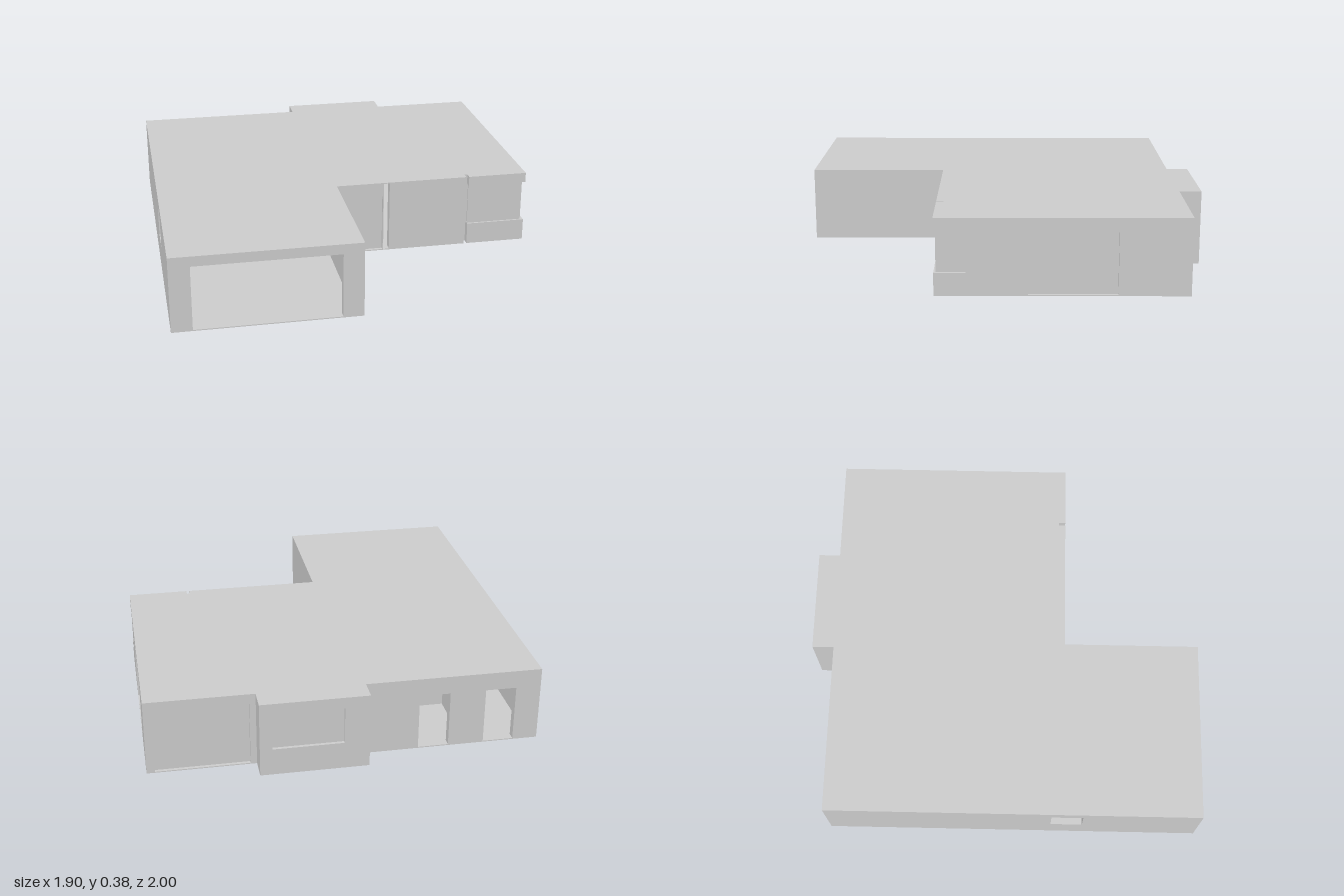
import * as THREE from 'three';

const HEIGHT = 0.375, SKIN = 0.005, WALL = 0.04;

export function createModel() {
  const house = new THREE.Group();
  house.name = 'house';
  const plaster = new THREE.MeshStandardMaterial({ color: 0xcccccc });
  plaster.name = 'lightGrey';

  function add(parent, name, geometry) {
    const mesh = new THREE.Mesh(geometry, plaster);
    mesh.name = name;
    parent.add(mesh);
    return mesh;
  }

  // Box given by its limits
  function block(parent, name, x0, x1, y0, y1, z0, z1) {
    const g = new THREE.BoxGeometry(x1 - x0, y1 - y0, z1 - z0);
    g.translate((x0 + x1) / 2, (y0 + y1) / 2, (z0 + z1) / 2);
    return add(parent, name, g);
  }

  // Plan outline [x, z] raised from y0 to y1
  function slab(name, plan, y0, y1) {
    const shape = new THREE.Shape(plan.map(([x, z]) => new THREE.Vector2(x, -z)));
    const g = new THREE.ExtrudeGeometry(shape, { depth: y1 - y0, bevelEnabled: false });
    g.rotateX(-Math.PI / 2);
    g.translate(0, y0, 0);
    return add(house, name, g);
  }

  // Wall whose outer face runs from a to b, with the outside on the right of travel.
  // Openings, in order along the wall: { u: [start, end], y: [bottom, top], pane }
  function wall(name, a, b, openings = []) {
    const dx = b[0] - a[0], dz = b[1] - a[1], length = Math.hypot(dx, dz);
    const group = new THREE.Group();
    group.name = name;
    group.position.set(a[0], 0, a[1]);
    group.rotation.y = -Math.atan2(dz, dx);
    house.add(group);

    const base = SKIN, top = HEIGHT - SKIN;
    const shape = new THREE.Shape();
    shape.moveTo(0, base);
    for (const { u: [s, e], y } of openings) {
      if (y[0] === 0) {
        shape.lineTo(s, base);
        shape.lineTo(s, y[1]);
        shape.lineTo(e, y[1]);
        shape.lineTo(e, base);
      } else {
        const hole = new THREE.Path();
        hole.moveTo(s, y[0]);
        hole.lineTo(s, y[1]);
        hole.lineTo(e, y[1]);
        hole.lineTo(e, y[0]);
        hole.closePath();
        shape.holes.push(hole);
      }
    }
    shape.lineTo(length, base);
    shape.lineTo(length, top);
    shape.lineTo(0, top);
    shape.closePath();
    const g = new THREE.ExtrudeGeometry(shape, { depth: WALL, bevelEnabled: false });
    g.translate(0, 0, -WALL);
    add(group, name + 'Panel', g);

    for (const { u, y, pane } of openings) {
      if (pane) block(group, name + 'Pane', u[0], u[1], Math.max(y[0], SKIN), y[1], -0.024, -0.016);
    }
  }

  // Floor and flat roof share one outline, including the narrow front slot
  const outline = [
    [-0.95, -0.89], [-0.09, -0.89], [-0.09, -1], [0.43, -1], [0.43, -0.89], [0.95, -0.89],
    [0.95, 0.31], [0.645, 0.31], [0.645, 0.275], [0.63, 0.275], [0.63, 0.31],
    [-0.05, 0.31], [-0.05, 1], [-0.95, 1],
  ];
  slab('floor', outline, 0, SKIN);
  slab('roof', outline, HEIGHT - SKIN, HEIGHT);

  // Garage wing
  wall('garageFront', [-0.95, 1], [-0.05, 1], [{ u: [0.1, 0.8], y: [0, 0.325] }]);
  wall('garageSide', [-0.05, 1], [-0.05, 0.1]);
  wall('leftLongWall', [-0.95, -0.89], [-0.95, 1], [{ u: [1.14, 1.3], y: [0.16, 0.315] }]);

  // Entrance front, with a full-height gap beside the door
  wall('entranceWall', [-0.05, 0.31], [0.195, 0.31], [{ u: [0.03, 0.24], y: [0, 0.3], pane: true }]);
  wall('frontWall', [0.225, 0.31], [0.63, 0.31]);
  block(house, 'slotBack', 0.6, 0.665, SKIN, HEIGHT - SKIN, 0.262, 0.275);

  // Corner window: sill and lintel turn the corner, panes meet without a post
  const corner = [[0.645, 0.31], [0.95, 0.31], [0.95, 0.16], [0.91, 0.16], [0.91, 0.27], [0.645, 0.27]];
  slab('cornerSill', corner, SKIN, 0.112);
  slab('cornerLintel', corner, 0.325, HEIGHT - SKIN);
  block(house, 'cornerFrontPane', 0.645, 0.935, 0.112, 0.325, 0.292, 0.3);
  block(house, 'cornerSidePane', 0.927, 0.935, 0.112, 0.325, 0.16, 0.292);

  // Side wall with the large sliding door
  wall('slidingDoorWall', [0.95, 0.16], [0.95, -0.89], [{ u: [0.29, 0.71], y: [0, 0.325], pane: true }]);

  // Back walls and the projecting bay
  wall('patioWall', [0.95, -0.89], [0.43, -0.89], [{ u: [0.035, 0.49], y: [0, 0.325], pane: true }]);
  wall('baySideA', [0.43, -0.85], [0.43, -1]);
  wall('bayBack', [0.43, -1], [-0.09, -1], [{ u: [0.06, 0.4], y: [0.135, 0.32], pane: true }]);
  wall('baySideB', [-0.09, -1], [-0.09, -0.85]);
  wall('backDoorWall', [-0.09, -0.89], [-0.95, -0.89], [
    { u: [0.263, 0.413], y: [0, 0.285] },
    { u: [0.588, 0.738], y: [0, 0.285] },
  ]);

  // Inner partitions
  wall('garageBack', [-0.95, 0.1], [-0.05, 0.1], [{ u: [0.05, 0.18], y: [0, 0.285] }]);
  wall('utilityPartition', [-0.58, 0.08], [-0.58, -0.86]);
  wall('hallPartition', [-0.6, -0.46], [-0.05, -0.46]);

  return house;
}
